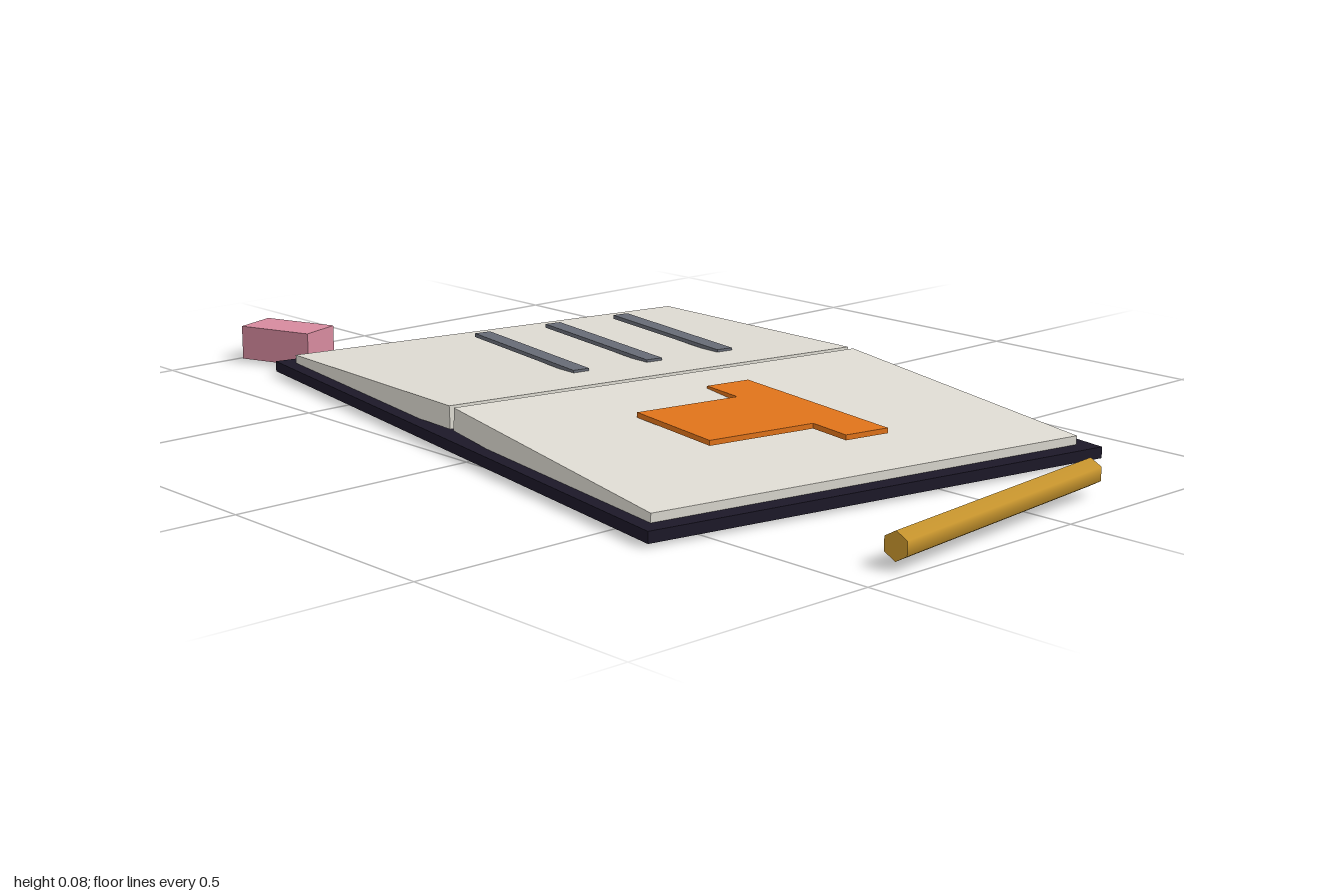
import * as THREE from 'three';

const mat = (color) => new THREE.MeshStandardMaterial({ color });

function add(parent, name, geometry, material, x, y, z) {
  const mesh = new THREE.Mesh(geometry, material);
  mesh.name = name;
  mesh.position.set(x, y, z);
  parent.add(mesh);
  return mesh;
}

export function createModel() {
  const model = new THREE.Group();
  model.name = 'openSketchbook';

  const cover = mat(0x1c1828);
  const paper = mat(0xdedbd2);
  const ink = mat(0x676b75);
  const orange = mat(0xe0731a);
  const wood = mat(0xc9962e);
  const rubber = mat(0xd68a9e);

  // Open book, turned slightly on the table
  const book = new THREE.Group();
  book.name = 'book';
  book.position.x = -0.017;
  book.rotation.y = -Math.PI / 18;
  model.add(book);

  add(book, 'cover', new THREE.BoxGeometry(1.46, 0.0215, 0.985), cover, 0, 0.0172, 0);

  // Page blocks slope down from the spine
  for (const side of [-1, 1]) {
    const page = add(book, side < 0 ? 'rightPages' : 'leftPages',
      new THREE.BoxGeometry(0.685, 0.045, 0.927), paper, side * 0.35, 0.0396, 0);
    page.rotation.z = -side * 0.05;
  }

  // Written lines
  for (const z of [-0.243, -0.072, 0.1]) {
    add(book, 'textLine', new THREE.BoxGeometry(0.407, 0.008, 0.036), ink, -0.34, 0.074, z);
  }

  // T-shaped drawing, extruded upward from the page
  const outline = [[0.117, -0.127], [0.562, -0.127], [0.562, -0.033], [0.462, -0.033],
    [0.462, 0.193], [0.22, 0.193], [0.22, -0.031], [0.117, -0.031]];
  const shape = new THREE.Shape(outline.map(([x, z]) => new THREE.Vector2(x, -z)));
  const drawing = new THREE.ExtrudeGeometry(shape, { depth: 0.01, bevelEnabled: false });
  drawing.rotateX(-Math.PI / 2);
  add(book, 'garmentDrawing', drawing, orange, 0, 0.0685, 0);

  // Six-sided pencil lying beside the book
  const pencilShape = new THREE.CylinderGeometry(0.026, 0.026, 0.58, 6);
  pencilShape.rotateX(Math.PI / 2);
  const pencil = add(model, 'pencil', pencilShape, wood, 0.938, 0.04, 0.117);
  pencil.rotation.y = 0.113;

  // Eraser
  const eraser = add(model, 'eraser', new THREE.BoxGeometry(0.17, 0.071, 0.095), rubber, -0.904, 0.0425, 0.27);
  eraser.rotation.y = Math.PI / 9;

  return model;
}
